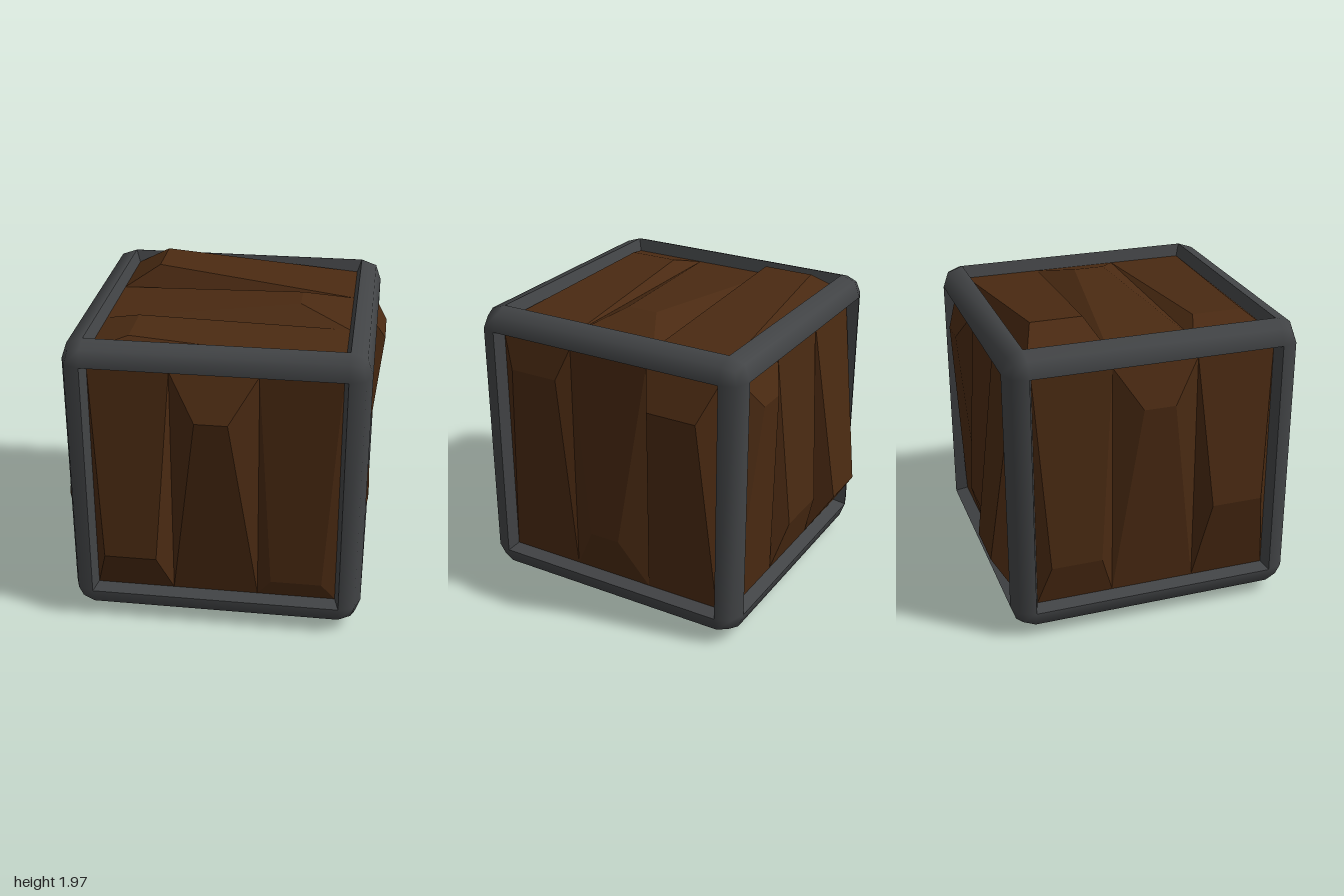
import * as THREE from 'three';
import { mergeVertices } from 'three/addons/utils/BufferGeometryUtils.js';
import { ConvexGeometry } from 'three/addons/geometries/ConvexGeometry.js';

const OUTER = 0.925, OPENING = 0.79, PANEL = 0.763, DEPTH = 0.845, SEAM = 0.27;

const metal = new THREE.MeshStandardMaterial({ color: 0x424446 });
const rimMetal = new THREE.MeshStandardMaterial({ color: 0x424446, flatShading: true, side: THREE.DoubleSide });
const wood = new THREE.MeshStandardMaterial({ color: 0x4a2a12, flatShading: true });

// Each face: outward normal, lengthwise axis and crosswise axis of its planks.
// Planks run from - to + crosswise: [ridge position, ridge height, ridge half width]
const faces = [
  { name: 'front', n: [0, 0, 1], along: [0, 1, 0], across: [1, 0, 0],
    planks: [[-0.47, 0.987, 0.163], [0.5, 0.987, 0.1], [-0.645, 0.88, 0.16]] },
  { name: 'back', n: [0, 0, -1], along: [0, 1, 0], across: [1, 0, 0],
    planks: [[-0.494, 1.01, 0.163], [-0.446, 0.935, 0.19], [0.565, 0.935, 0.095]] },
  { name: 'left', n: [1, 0, 0], along: [0, 1, 0], across: [0, 0, 1],
    planks: [[0.54, 0.983, 0.163], [-0.446, 0.933, 0.1], [0.554, 0.9, 0.163]] },
  { name: 'right', n: [-1, 0, 0], along: [0, 1, 0], across: [0, 0, 1],
    planks: [[-0.5, 0.9, 0.163], [0.504, 0.934, 0.1], [-0.21, 0.964, 0.163]] },
  { name: 'top', n: [0, 1, 0], along: [1, 0, 0], across: [0, 0, 1],
    planks: [[-0.537, 0.984, 0.163], [0.443, 0.936, 0.1], [-0.537, 0.91, 0.163]] },
  { name: 'bottom', n: [0, -1, 0], along: [1, 0, 0], across: [0, 0, 1],
    planks: [[0.533, 0.983, 0.163], [-0.444, 0.934, 0.1], [0.53, 0.91, 0.163]] },
];

// Bevelled cube whose six middle cells are left open
function frameGeometry() {
  let geo = new THREE.BoxGeometry(2, 2, 2, 3, 3, 3);
  const pos = geo.attributes.position;
  for (let i = 0; i < pos.count; i++) {
    const p = [pos.getX(i), pos.getY(i), pos.getZ(i)];
    const onEdge = p.filter((c) => Math.abs(c) > 0.9).length;
    const reach = [0, OUTER, 0.89, 0.868][onEdge];
    pos.setXYZ(i, ...p.map((c) => Math.sign(c) * (Math.abs(c) > 0.9 ? reach : OPENING)));
  }
  geo.deleteAttribute('normal');
  geo.deleteAttribute('uv');
  geo.clearGroups();
  geo = mergeVertices(geo);
  geo.computeVertexNormals();
  // 9 cells of 6 indices per side; cell 4 is the opening
  const kept = Array.from(geo.index.array).filter((_, i) => Math.floor((i % 54) / 6) !== 4);
  geo.setIndex(kept);
  return geo;
}

// Plank with a rectangular base rising to a short crosswise ridge
function plankGeometry(face, index, [ridge, height, half]) {
  const edges = [-PANEL, -SEAM, SEAM, PANEL];
  const a = edges[index], b = edges[index + 1], mid = (a + b) / 2;
  const [n, along, across] = [face.n, face.along, face.across].map((v) => new THREE.Vector3(...v));
  const at = (h, l, w) => new THREE.Vector3()
    .addScaledVector(n, h).addScaledVector(along, l).addScaledVector(across, w);
  return new ConvexGeometry([
    at(DEPTH, -PANEL, a), at(DEPTH, -PANEL, b), at(DEPTH, PANEL, a), at(DEPTH, PANEL, b),
    at(height, ridge, mid - half), at(height, ridge, mid + half),
  ]);
}

export function createModel() {
  const model = new THREE.Group();
  model.name = 'crate';
  const add = (name, geo, mat, parent) => {
    const mesh = new THREE.Mesh(geo, mat);
    mesh.name = name;
    parent.add(mesh);
    return mesh;
  };

  add('frame', frameGeometry(), metal, model);

  // Sloping inner wall of each opening
  const rim = new THREE.CylinderGeometry(OPENING * Math.SQRT2, PANEL * Math.SQRT2,
    OUTER - DEPTH, 4, 1, true, Math.PI / 4);
  rim.translate(0, (OUTER + DEPTH) / 2, 0);

  for (const face of faces) {
    const side = new THREE.Group();
    side.name = face.name + 'Panel';
    model.add(side);
    const wall = add(face.name + 'Rim', rim, rimMetal, side);
    const [x, y, z] = face.n;
    wall.rotation.set(z ? z * Math.PI / 2 : y < 0 ? Math.PI : 0, 0, -x * Math.PI / 2);
    face.planks.forEach((plank, i) =>
      add(face.name + 'Plank' + (i + 1), plankGeometry(face, i, plank), wood, side));
  }

  model.position.set(-0.013, 0.991, 0.0125);
  const root = new THREE.Group();
  root.name = 'woodenCrate';
  root.add(model);
  return root;
}
